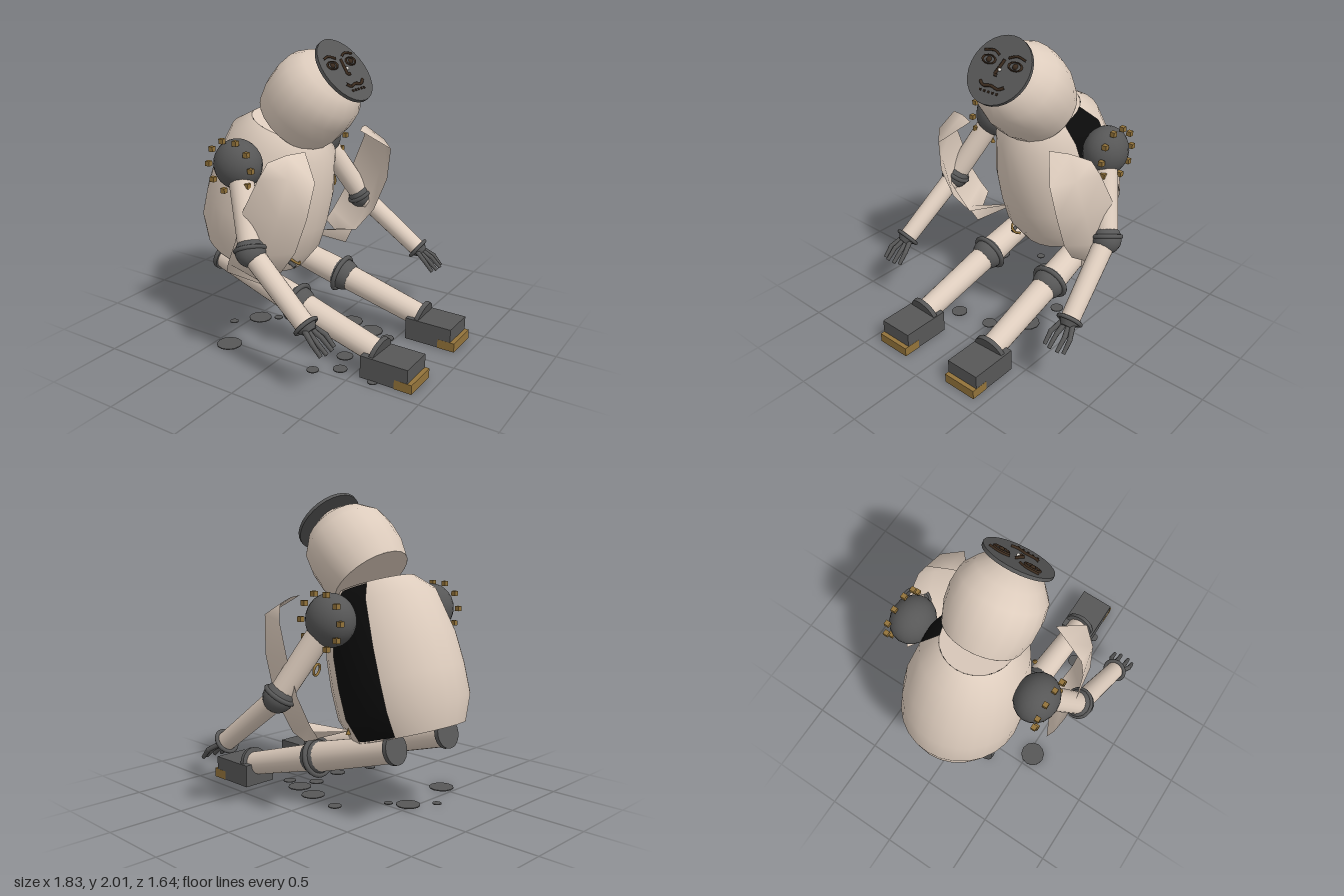
import * as THREE from 'three';

const mat = (name, color, double) => {
  const m = new THREE.MeshStandardMaterial({ color });
  m.name = name;
  if (double) m.side = THREE.DoubleSide;
  return m;
};
const V = (x, y, z) => new THREE.Vector3(x, y, z);
const UP = V(0, 1, 0);
const rad = THREE.MathUtils.degToRad;

export function createModel() {
  const cream = mat('creamShell', 0xddccbd, true);
  const grey = mat('darkGreyMetal', 0x575757);
  const gold = mat('brass', 0x93733a);
  const black = mat('blackInterior', 0x0b0b0b);
  const brown = mat('darkBrown', 0x3b2b1e);
  const white = mat('whiteGlint', 0xf0ece4);

  const root = new THREE.Group();
  root.name = 'seatedRobot';

  const add = (parent, name, geo, m, pos) => {
    const mesh = new THREE.Mesh(geo, m);
    mesh.name = name;
    if (pos) mesh.position.copy(pos);
    parent.add(mesh);
    return mesh;
  };
  // tapered cylinder running from a to b
  const limb = (parent, name, a, b, ra, rb, m, seg = 20) => {
    const d = b.clone().sub(a);
    const mesh = add(parent, name, new THREE.CylinderGeometry(rb, ra, d.length(), seg), m, a.clone().lerp(b, 0.5));
    mesh.quaternion.setFromUnitVectors(UP, d.normalize());
    return mesh;
  };
  // thin round plate centred on p, facing along dir
  const plate = (parent, name, p, dir, r, t, m) => {
    const half = dir.clone().setLength(t / 2);
    return limb(parent, name, p.clone().sub(half), p.clone().add(half), r, r, m, 24);
  };
  // ring around the direction dir
  const ring = (parent, name, p, dir, r, tube, m) => {
    const mesh = add(parent, name, new THREE.TorusGeometry(r, tube, 8, 24), m, p);
    mesh.quaternion.setFromUnitVectors(V(0, 0, 1), dir.clone().normalize());
    return mesh;
  };
  const disc = (parent, name, r, y, m, flip) => {
    const mesh = add(parent, name, new THREE.CircleGeometry(r, 24), m, V(0, y, 0));
    mesh.rotation.x = flip ? Math.PI / 2 : -Math.PI / 2;
    return mesh;
  };
  const profile = (pts) => pts.map(([r, y]) => new THREE.Vector2(r, y));

  // torso: barrel shell with an opening on one side, dark core inside
  const torso = new THREE.Group();
  torso.name = 'torso';
  torso.position.set(-0.55, 0.53, 0);
  torso.rotation.z = -rad(17);
  torso.scale.z = 0.93;
  root.add(torso);
  const barrel = [[0.37, 0], [0.435, 0.16], [0.44, 0.35], [0.428, 0.55], [0.365, 0.84], [0.25, 0.95]];
  add(torso, 'torsoShell', new THREE.LatheGeometry(profile(barrel), 24, rad(206), rad(316)), cream);
  const core = barrel.map(([r, y]) => [r * 0.97, 0.008 + y * 0.983]);
  add(torso, 'torsoCore', new THREE.LatheGeometry(profile([[0, 0.008], ...core, [0, core[5][1]]]), 32), black);
  disc(torso, 'torsoTop', 0.25, 0.95, cream);
  disc(torso, 'torsoBottom', 0.37, 0, cream, true);

  // head: shorter barrel bowed forward
  const head = new THREE.Group();
  head.name = 'head';
  head.position.set(-0.222, 1.468, 0);
  head.rotation.z = -rad(43);
  root.add(head);
  add(head, 'headShell', new THREE.LatheGeometry(profile(
    [[0.265, 0], [0.297, 0.12], [0.302, 0.24], [0.285, 0.35], [0.22, 0.44], [0.1, 0.52], [0, 0.53]]), 20), cream);
  disc(head, 'headBottom', 0.265, 0, cream, true);

  // face plate: local x is sideways, y up the face, z out of it
  const face = new THREE.Group();
  face.name = 'face';
  face.position.set(0.163, 1.825, 0);
  face.rotation.set(-rad(40), Math.PI / 2, 0, 'YXZ');
  root.add(face);
  add(face, 'facePlate', new THREE.CylinderGeometry(0.229, 0.229, 0.022, 28), grey).rotation.x = Math.PI / 2;
  const stroke = (name, pts, r = 0.008) => add(face, name,
    new THREE.TubeGeometry(new THREE.CatmullRomCurve3(pts.map(([x, y]) => V(x, y, 0.015))), 12, r, 6), brown);
  for (const s of [-1, 1]) {
    stroke('eyebrow', [[s * 0.035, 0.085], [s * 0.09, 0.108], [s * 0.165, 0.095]]);
    const eye = add(face, 'eyeRim', new THREE.TorusGeometry(0.05, 0.008, 6, 20), brown, V(s * 0.105, 0.045, 0.013));
    eye.scale.y = 0.55;
    add(face, 'pupil', new THREE.SphereGeometry(0.019, 12, 8), brown, V(s * 0.105, 0.045, 0.01));
  }
  stroke('nose', [[0.012, 0.07], [-0.008, -0.01], [-0.014, -0.035], [0.012, -0.037]], 0.01);
  add(face, 'noseGlint', new THREE.SphereGeometry(0.011, 8, 6), white, V(0.012, 0.0, 0.02));
  stroke('mouth', [[-0.095, -0.095], [-0.06, -0.118], [0, -0.108], [0.06, -0.118], [0.1, -0.095]], 0.01);
  for (let i = -2; i <= 2; i++)
    add(face, 'tooth', new THREE.BoxGeometry(0.012, 0.014, 0.012), brown, V(i * 0.033, -0.148, 0.012));

  // open chest door, rows from top to bottom: front edge, middle, back edge
  const rows = [
    [0.09, 1.365, 0.33, 0.04, 1.365, 0.45, -0.01, 1.34, 0.58],
    [0.255, 1.23, 0.47, 0.14, 1.26, 0.58, -0.05, 1.24, 0.625],
    [0.215, 1.0, 0.5, 0.09, 1.02, 0.62, -0.15, 1.03, 0.655],
    [0.12, 0.76, 0.49, 0, 0.76, 0.625, -0.23, 0.8, 0.645],
    [-0.01, 0.59, 0.46, -0.1, 0.55, 0.57, -0.31, 0.64, 0.62],
    [-0.35, 0.56, 0.31, -0.1, 0.47, 0.47, -0.35, 0.56, 0.59],
  ];
  const doorGeometry = (s) => {
    const geo = new THREE.BufferGeometry();
    const idx = [];
    for (let r = 0; r < 5; r++) for (let c = 0; c < 2; c++) {
      const a = r * 3 + c, b = a + 1, d = a + 3, e = a + 4;
      idx.push(...(s > 0 ? [a, d, b, b, d, e] : [a, b, d, b, e, d]));
    }
    geo.setAttribute('position', new THREE.Float32BufferAttribute(
      rows.flat().map((v, i) => (i % 3 === 2 ? v * s : v)), 3));
    geo.setIndex(idx);
    geo.computeVertexNormals();
    return geo;
  };

  for (const s of [1, -1]) {
    const P = (x, y, z) => V(x, y, z * s);
    const side = s > 0 ? 'left' : 'right';
    const arm = new THREE.Group(), leg = new THREE.Group();
    arm.name = side + 'Arm';
    leg.name = side + 'Leg';
    root.add(arm, leg);
    add(root, side + 'ChestDoor', doorGeometry(s), cream);

    // shoulder ball, slightly flattened, with a circle of studs
    add(arm, 'shoulder', new THREE.SphereGeometry(0.163, 20, 14), grey, P(-0.328, 1.255, 0.465)).scale.z = 0.88;
    for (let i = 0; i < 10; i++) {
      const a = i * Math.PI / 5;
      add(arm, 'stud', new THREE.BoxGeometry(0.032, 0.032, 0.032), gold,
        P(-0.328 + 0.168 * Math.cos(a), 1.255 + 0.168 * Math.sin(a), 0.55));
    }
    // arm
    const sh = P(-0.29, 1.2, 0.49), el = P(-0.085, 0.785, 0.67), wr = P(0.36, 0.435, 0.73);
    const upper = el.clone().sub(sh), fore = wr.clone().sub(el);
    limb(arm, 'upperArm', sh, el, 0.08, 0.075, cream);
    add(arm, 'elbow', new THREE.SphereGeometry(0.097, 16, 12), grey, el);
    ring(arm, 'elbowRing', el.clone().sub(upper.clone().setLength(0.015)), upper, 0.092, 0.015, grey);
    limb(arm, 'forearm', el, wr, 0.07, 0.062, cream);
    ring(arm, 'wristRing', wr, fore, 0.074, 0.013, grey);
    limb(arm, 'palm', wr, wr.clone().add(fore.clone().setLength(0.045)), 0.07, 0.04, grey, 12);
    [0.66, 0.705, 0.765, 0.805].forEach((z, i) => {
      const base = P(0.375, 0.425, 0.69 + i * 0.026), mid = P(0.455, 0.375, z), tip = P(i % 3 ? 0.53 : 0.515, 0.31, z);
      limb(arm, 'finger', base, mid, 0.018, 0.016, grey, 8);
      limb(arm, 'fingertip', mid, tip, 0.016, 0.013, grey, 8);
      add(arm, 'knuckle', new THREE.SphereGeometry(0.017, 8, 6), grey, mid);
    });

    // leg
    const hip = P(-0.65, 0.49, 0.25), knee = P(0, 0.31, 0.28), ankle = P(0.62, 0.135, 0.3);
    const thigh = knee.clone().sub(hip), shin = ankle.clone().sub(knee);
    limb(leg, 'thigh', hip, knee, 0.085, 0.1, cream);
    plate(leg, 'hipPlate', hip, thigh, 0.098, 0.03, grey);
    add(leg, 'knee', new THREE.SphereGeometry(0.112, 18, 12), grey, knee);
    ring(leg, 'kneeRing', knee.clone().sub(thigh.clone().setLength(0.015)), thigh, 0.12, 0.017, grey);
    limb(leg, 'shin', knee, ankle, 0.09, 0.08, cream);
    plate(leg, 'anklePlate', ankle, shin, 0.112, 0.03, grey);
    add(leg, 'foot', new THREE.BoxGeometry(0.33, 0.152, 0.24), grey, P(0.72, 0.078, 0.305));
    add(leg, 'toeCap', new THREE.BoxGeometry(0.12, 0.062, 0.242), gold, P(0.855, 0.031, 0.305));

    // small hinge pins
    for (const [x, y, z] of [[-0.36, 0.565, 0.35], [-0.11, 1.17, 0.315]])
      add(root, 'hingePin', new THREE.ConeGeometry(0.016, 0.04, 8), gold, P(x, y, z));
  }

  // loose wires
  add(root, 'bellyWire', new THREE.TubeGeometry(new THREE.CatmullRomCurve3(
    [V(-0.17, 0.56, 0.17), V(-0.12, 0.53, 0.155), V(-0.11, 0.505, 0.12), V(-0.13, 0.5, 0.08)]), 20, 0.009, 6), gold);
  limb(root, 'bellyPlug', V(-0.17, 0.52, 0.15), V(-0.12, 0.49, 0.15), 0.014, 0.014, grey, 8);
  ring(root, 'sideWireLoop', V(-0.2, 0.94, -0.46), V(1, 0.2, -0.3), 0.036, 0.008, gold);

  // round spots on the ground: x, z, radius
  const spots = [[-0.58, 0.255, 0.03], [-0.4, 0.53, 0.085], [-0.46, 0.105, 0.08], [-0.35, 0.035, 0.03],
    [-0.14, -0.25, 0.045], [0.12, -0.2, 0.08], [0.31, -0.15, 0.08], [0.455, -0.115, 0.045], [0.3, 0, 0.05],
    [0.34, 0.25, 0.055], [0.4, 0.405, 0.047], [0.26, 0.51, 0.04], [0.65, 0.43, 0.033]];
  for (const [x, z, r] of spots)
    add(root, 'groundSpot', new THREE.CylinderGeometry(r, r, 0.006, 12), grey, V(x, 0.003, z));

  return root;
}
